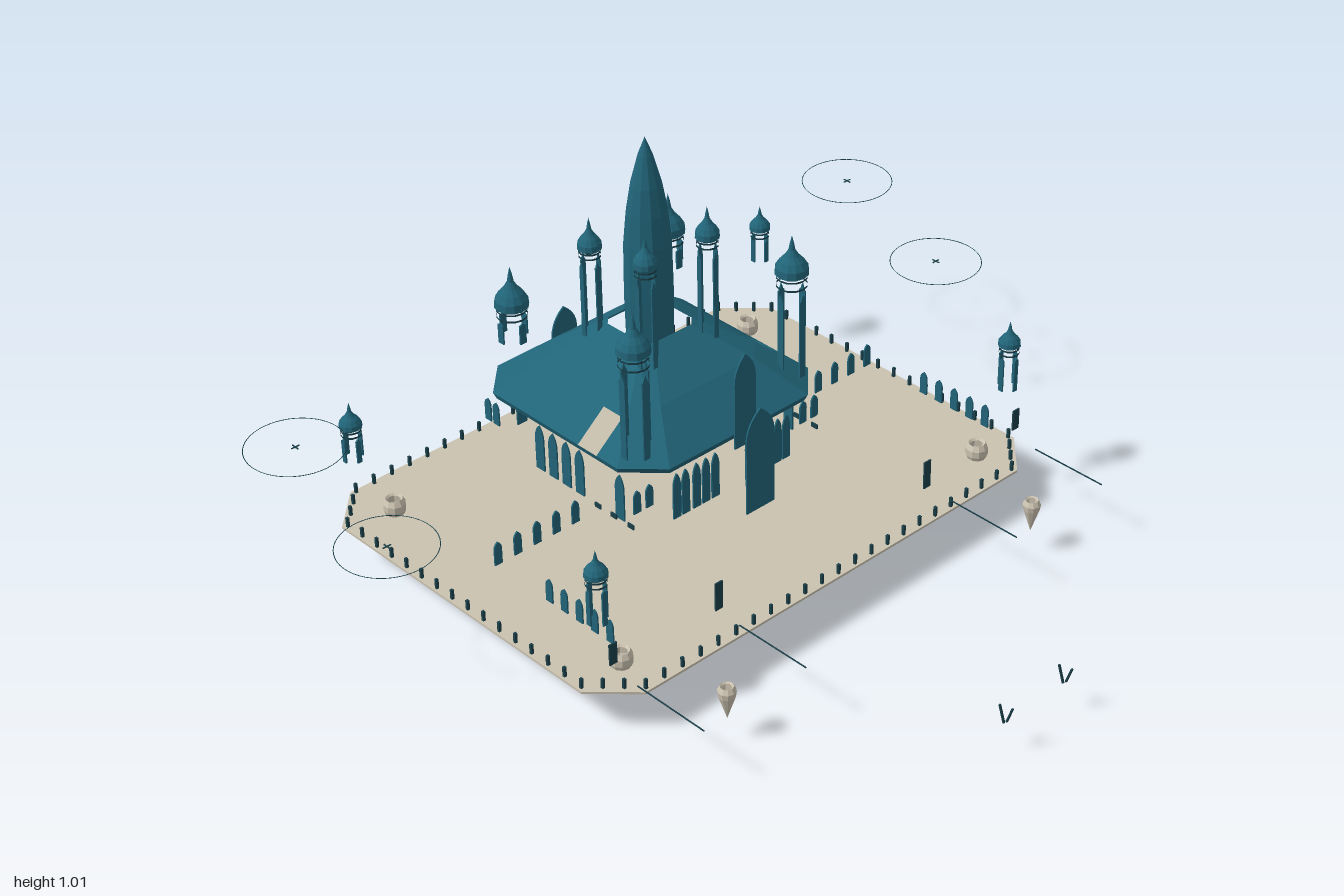
import * as THREE from 'three';

const CZ = -0.42; // depth of the palace centre
const mat = (color) => new THREE.MeshStandardMaterial({ color, flatShading: true, side: THREE.DoubleSide });
const teal = mat(0x216478), dark = mat(0x1a3f49), stone = mat(0xcbc2b0);

export function createModel() {
  const root = new THREE.Group();

  function add(name, geo, material, x = 0, y = 0, z = 0, parent = root) {
    const m = new THREE.Mesh(geo, material);
    m.name = name;
    m.position.set(x, y, z);
    parent.add(m);
    return m;
  }

  // Chamfered rectangle, counter-clockwise seen from above
  const oct = (hx, hz, c) => [
    [hx, hz - c], [hx, -hz + c], [hx - c, -hz], [-hx + c, -hz],
    [-hx, -hz + c], [-hx, hz - c], [-hx + c, hz], [hx - c, hz]];

  // Skin between stacked chamfered rectangles [y, hx, hz, chamfer]
  function loft(levels, { skip = () => false, top = false, bottom = false } = {}) {
    const rings = levels.map(([y, hx, hz, c]) => oct(hx, hz, c).map(([x, z]) => [x, y, z]));
    const p = [];
    for (let k = 0; k + 1 < rings.length; k++) {
      for (let i = 0; i < 8; i++) {
        if (skip(k, i)) continue;
        const j = (i + 1) % 8;
        const [a, b, c, d] = [rings[k][i], rings[k][j], rings[k + 1][j], rings[k + 1][i]];
        p.push(...a, ...b, ...c, ...a, ...c, ...d);
      }
    }
    for (let i = 1; i < 7; i++) {
      const t = rings[rings.length - 1], b = rings[0];
      if (top) p.push(...t[0], ...t[i], ...t[i + 1]);
      if (bottom) p.push(...b[0], ...b[i + 1], ...b[i]);
    }
    const g = new THREE.BufferGeometry();
    g.setAttribute('position', new THREE.Float32BufferAttribute(p, 3));
    g.computeVertexNormals();
    return g;
  }

  // Thin pointed-arch panel standing on its origin
  function arch(w, h, shoulder = 0.68) {
    const s = new THREE.Shape();
    s.moveTo(-w / 2, 0);
    s.lineTo(w / 2, 0);
    s.lineTo(w / 2, h * shoulder);
    s.quadraticCurveTo(w / 2, h * 0.88, 0, h);
    s.quadraticCurveTo(-w / 2, h * 0.88, -w / 2, h * shoulder);
    s.closePath();
    return new THREE.ExtrudeGeometry(s, { depth: 0.004, bevelEnabled: false, curveSegments: 5 })
      .translate(0, 0, -0.002);
  }

  // Platform with sloping underside
  add('platform', loft([[0.067, 0.6, 0.48, 0.08], [0.108, 0.71, 0.53, 0.1], [0.114, 0.71, 0.53, 0.1]],
    { top: true, bottom: true }), stone, 0, 0, -0.305);

  // Posts along the platform edge
  const edge = oct(0.7, 0.52, 0.1);
  const post = new THREE.BoxGeometry(0.007, 0.026, 0.007);
  edge.forEach(([x0, z0], i) => {
    const [x1, z1] = edge[(i + 1) % 8];
    const n = Math.max(2, Math.round(Math.hypot(x1 - x0, z1 - z0) / 0.055));
    for (let k = 0; k < n; k++) {
      add('edgePost', post, dark, x0 + (x1 - x0) * k / n, 0.127, z0 + (z1 - z0) * k / n - 0.305);
    }
  });

  // Pendants: one below the centre, four through the corners, two floating ahead
  add('centrePendant', new THREE.ConeGeometry(0.038, 0.068, 10).rotateX(Math.PI), stone, 0, 0.034, CZ);
  const lathe = (pts, n) => new THREE.LatheGeometry(pts.map(([r, y]) => new THREE.Vector2(r, y)), n);
  const lantern = lathe([[0, 0.04], [0.018, 0.085], [0.024, 0.115], [0.028, 0.125], [0.028, 0.142], [0.021, 0.155], [0.016, 0.15]], 10);
  const floater = lathe([[0, 0.062], [0.02, 0.125], [0.022, 0.14], [0.016, 0.152], [0.012, 0.148]], 10);
  for (const s of [-1, 1]) {
    for (const z of [0.115, -0.695]) add('cornerLantern', lantern, stone, s * 0.583, 0, z);
    add('floatingPendant', floater, stone, s * 0.5, 0, 0.367);
  }

  // Main roof: two slopes, with an opening on each flank
  const roof = new THREE.Group();
  roof.name = 'roof';
  roof.position.z = CZ;
  root.add(roof);
  add('roofSkin', loft([[0.336, 0.302, 0.302, 0.085], [0.352, 0.308, 0.308, 0.085], [0.44, 0.2, 0.2, 0.05], [0.52, 0.08, 0.08, 0.02]],
    { skip: (k, i) => k === 1 && i % 4 === 0 }), teal, 0, 0, 0, roof);
  const flank = new THREE.Shape([[-0.223, 0.352], [0.085, 0.352], [0.085, 0.42], [0.15, 0.42], [0.15, 0.352],
    [0.223, 0.352], [0.15, 0.44], [-0.15, 0.44]].map(([a, b]) => new THREE.Vector2(a, b)));
  for (const s of [-1, 1]) {
    const g = new THREE.ShapeGeometry(flank);
    const p = g.attributes.position;
    for (let i = 0; i < p.count; i++) {
      const z = p.getX(i), y = p.getY(i);
      p.setXYZ(i, s * (0.308 - (y - 0.352) / 0.088 * 0.108), y, z);
    }
    g.computeVertexNormals();
    add('roofFlank', g, teal, 0, 0, 0, roof);
  }

  // Central spire
  add('spire', lathe([[0.058, 0.48], [0.06, 0.6], [0.058, 0.74], [0.05, 0.82], [0.038, 0.89], [0.018, 0.965], [0, 1.012]], 12),
    teal, 0, 0, CZ);

  // Turret: domed cap, trim rings and four tall window strips
  function turret(name, x, z, r, tip, dome, low, high) {
    const g = new THREE.Group();
    g.name = name;
    g.position.set(x, 0, z);
    root.add(g);
    const h = tip - dome;
    const profile = [[0.8, -0.06], [1, 0], [0.96, 0.18], [0.72, 0.34], [0.42, 0.47], [0.2, 0.62], [0.12, 0.8], [0, 1]];
    add('dome', lathe([[0, dome - 0.06 * h], ...profile.map(([a, b]) => [a * r, dome + b * h])], 12), teal, 0, 0, 0, g);
    for (const f of [0.35, 0.85]) {
      const y = high + (dome - high) * f - 0.003;
      add('trimRing', new THREE.CylinderGeometry(r * 0.9, r * 0.9, 0.005, 12, 1, true), dark, 0, y, 0, g);
    }
    for (let k = 0; k < 4; k++) {
      const a = k * Math.PI / 2;
      add('windowStrip', arch(r * 0.45, high - low, 0.92), teal,
        Math.sin(a) * r * 0.86, low, Math.cos(a) * r * 0.86, g).rotation.y = a;
    }
  }
  for (const s of [-1, 1]) {
    turret('frontTower', s * 0.25, -0.195, 0.042, 0.745, 0.645, 0.37, 0.6);
    turret('backTower', s * 0.25, -0.625, 0.042, 0.685, 0.58, 0.49, 0.545);
    turret('frontInnerTurret', s * 0.097, -0.32, 0.03, 0.832, 0.752, 0.48, 0.725);
    turret('backInnerTurret', s * 0.097, -0.515, 0.03, 0.8, 0.72, 0.47, 0.695);
    turret('frontCornerTurret', s * 0.662, 0.135, 0.028, 0.477, 0.412, 0.29, 0.385);
    turret('backCornerTurret', s * 0.662, -0.73, 0.028, 0.445, 0.38, 0.29, 0.355);
  }

  // Portal, gable panels
  add('portal', arch(0.09, 0.28, 0.72), teal, 0, 0.17, -0.045);
  add('frontGablePanel', arch(0.068, 0.25, 0.7), teal, 0, 0.325, -0.095);
  add('backGablePanel', arch(0.08, 0.24, 0.7), teal, 0, 0.18, -0.74);

  // Hall windows
  const tall = arch(0.03, 0.125), small = arch(0.022, 0.062), slim = arch(0.024, 0.125);
  for (const s of [-1, 1]) {
    for (const x of [0.055, 0.085, 0.115, 0.15, 0.178]) add('frontWindow', slim, teal, s * x, 0.18, -0.14);
    for (const x of [0.06, 0.12, 0.18]) add('backWindow', tall, teal, s * x, 0.18, -0.7);
    for (const z of [-0.23, -0.372, -0.42, -0.468, -0.516]) {
      add('sideWindow', tall, teal, s * 0.275, 0.178, z).rotation.y = Math.PI / 2;
    }
    for (const d of [0.25, 0.288]) add('towerWindow', small, teal, s * d, 0.24, -0.155);
    for (const z of [-0.665, -0.695]) add('towerWindow', small, teal, s * 0.285, 0.24, z).rotation.y = Math.PI / 2;

    // Courtyard wall windows
    for (let k = 0; k < 5; k++) {
      add('courtWindow', small, teal, s * (0.37 + k * 0.058), 0.19, -0.28);
      add('courtSideWindow', small, teal, s * 0.61, 0.19, 0.113 - k * 0.051).rotation.y = Math.PI / 2;
    }
    for (const z of [-0.165, -0.225, -0.28]) {
      add('lowVent', new THREE.BoxGeometry(0.004, 0.012, 0.02), dark, s * 0.3, 0.203, z);
    }

    // Gate panels and thin rails ahead of them
    add('outerGatePanel', new THREE.BoxGeometry(0.022, 0.056, 0.004), dark, s * 0.655, 0.217, 0.173);
    add('innerGatePanel', new THREE.BoxGeometry(0.022, 0.075, 0.004), dark, s * 0.34, 0.207, 0.173);
    for (const x of [0.65, 0.345]) {
      add('rail', new THREE.BoxGeometry(0.0025, 0.0025, 0.21), dark, s * x, 0.166, 0.35);
    }

    // Small V-shaped markers floating in front
    for (const t of [-1, 1]) {
      add('floatingMarker', new THREE.BoxGeometry(0.005, 0.046, 0.004), dark,
        s * 0.098 + t * 0.004, 0.108, 0.82 + t * 0.008).rotation.x = t * 0.32;
    }

    // Fine hovering rings with a small cross at the centre
    for (const [z, y] of [[-0.63, 0.475], [-0.31, 0.367]]) {
      add('hoverRing', new THREE.TorusGeometry(0.117, 0.001, 4, 48).rotateX(Math.PI / 2), dark, s * 0.882, y, z);
      add('hoverCross', new THREE.BoxGeometry(0.022, 0.002, 0.003), dark, s * 0.882, y, z);
      add('hoverCross', new THREE.BoxGeometry(0.003, 0.002, 0.022), dark, s * 0.882, y, z);
    }
  }
  return root;
}
